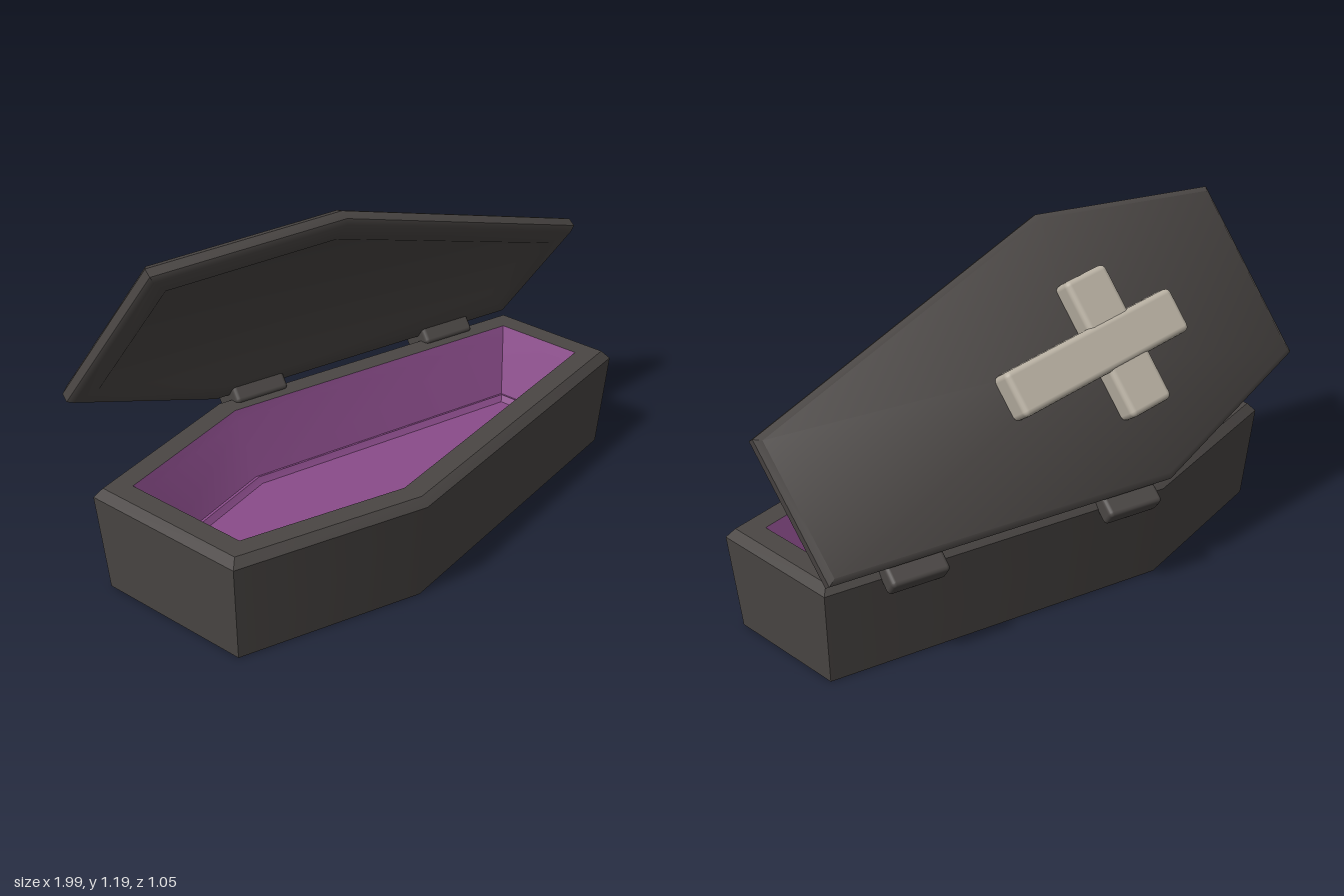
import * as THREE from 'three';
import { toCreasedNormals } from 'three/addons/utils/BufferGeometryUtils.js';
import { RoundedBoxGeometry } from 'three/addons/geometries/RoundedBoxGeometry.js';

// Six-sided coffin outline as [x, z], counterclockwise seen from above
const OUTLINE = [[-1, -0.3], [-1, 0.35], [-0.32, 0.52], [0.945, 0.28], [0.945, -0.225], [-0.32, -0.47]];
const RIM_Y = 0.365;
const CENTRE_Z = 0.025;
const OPEN_ANGLE = THREE.MathUtils.degToRad(55.5);

// Outline moved inward by an even distance
function insetOutline(d) {
  const n = OUTLINE.length;
  const inward = (i) => {
    const [ax, az] = OUTLINE[i % n], [bx, bz] = OUTLINE[(i + 1) % n];
    return new THREE.Vector2(bz - az, ax - bx).normalize();
  };
  return OUTLINE.map(([x, z], i) => {
    const n1 = inward(i + n - 1), n2 = inward(i);
    const k = d / (1 + n1.dot(n2));
    return [x + (n1.x + n2.x) * k, z + (n1.y + n2.y) * k];
  });
}

// Joins rings given as [inset, y]; the ends can be closed with caps
function loft(rings, capStart, capEnd, crease = 0.6) {
  const loops = rings.map(([d, y]) => insetOutline(d).map(([x, z]) => [x, y, z]));
  const pos = [];
  const tri = (...pts) => pts.forEach((p) => pos.push(...p));
  const n = OUTLINE.length;
  for (let i = 0; i < n; i++) {
    const j = (i + 1) % n;
    for (let r = 0; r < loops.length - 1; r++) {
      const a = loops[r], b = loops[r + 1];
      tri(a[i], a[j], b[j]);
      tri(a[i], b[j], b[i]);
    }
    const first = loops[0], last = loops[loops.length - 1];
    if (capStart) tri([-0.2, first[0][1], CENTRE_Z], first[j], first[i]);
    if (capEnd) tri([-0.2, last[0][1], CENTRE_Z], last[i], last[j]);
  }
  const geo = new THREE.BufferGeometry();
  geo.setAttribute('position', new THREE.Float32BufferAttribute(pos, 3));
  return toCreasedNormals(geo, crease);
}

export function createModel() {
  const darkWood = new THREE.MeshStandardMaterial({ color: 0x4a4644 });
  darkWood.name = 'darkWood';
  const purpleLining = new THREE.MeshStandardMaterial({ color: 0x8a4c8a });
  purpleLining.name = 'purpleLining';
  const paleBone = new THREE.MeshStandardMaterial({ color: 0xb9b1a3 });
  paleBone.name = 'paleBone';

  const model = new THREE.Group();
  model.name = 'coffin';
  const add = (parent, name, geo, mat) => {
    const mesh = new THREE.Mesh(geo, mat);
    mesh.name = name;
    parent.add(mesh);
    return mesh;
  };

  // Box: flared sides, bevelled edge and flat rim
  add(model, 'box', loft([[0.03, 0], [0, 0.335], [0.025, RIM_Y], [0.1, RIM_Y]], true, false), darkWood);

  // Lining: sloping walls, a low seam and the floor
  add(model, 'lining', loft([[0.1, RIM_Y], [0.115, 0.33], [0.19, 0.14], [0.205, 0.145], [0.22, 0.125]], false, true), purpleLining);

  // Lid: hinged on the back edge between the shoulder and the foot
  const [footX, footZ] = OUTLINE[4], [shoulderX, shoulderZ] = OUTLINE[5];
  const axis = new THREE.Vector3(footX - shoulderX, 0, footZ - shoulderZ).normalize();
  const lid = new THREE.Group();
  lid.name = 'lid';
  lid.position.set(shoulderX, RIM_Y, shoulderZ);
  lid.quaternion.setFromAxisAngle(axis, -OPEN_ANGLE);
  model.add(lid);

  const lidRings = [[0.13, 0.03], [0.085, 0], [0.015, 0], [0, 0.014], [0, 0.046], [0.02, 0.065]];
  const panel = add(lid, 'lidPanel', loft(lidRings, true, true, 0.8), darkWood);
  panel.position.set(-shoulderX, 0, -shoulderZ);

  // Cross on the lid
  const longBar = add(lid, 'crossLongBar', new RoundedBoxGeometry(0.72, 0.1, 0.16, 2, 0.02), paleBone);
  longBar.position.set(0.08, 0.1, 0.493);
  const shortBar = add(lid, 'crossShortBar', new RoundedBoxGeometry(0.175, 0.09, 0.5, 2, 0.02), paleBone);
  shortBar.position.set(-0.01, 0.098, 0.493);

  // Hinges through the gap between box and lid
  for (const x of [-0.16, 0.645]) {
    const hinge = add(model, 'hinge', new RoundedBoxGeometry(0.21, 0.07, 0.13, 2, 0.015), darkWood);
    hinge.position.set(x, 0.357, shoulderZ + ((x - shoulderX) * axis.z) / axis.x - 0.005);
    hinge.rotation.set(-0.66, -Math.atan2(axis.z, axis.x), 0, 'YXZ');
  }
  return model;
}
